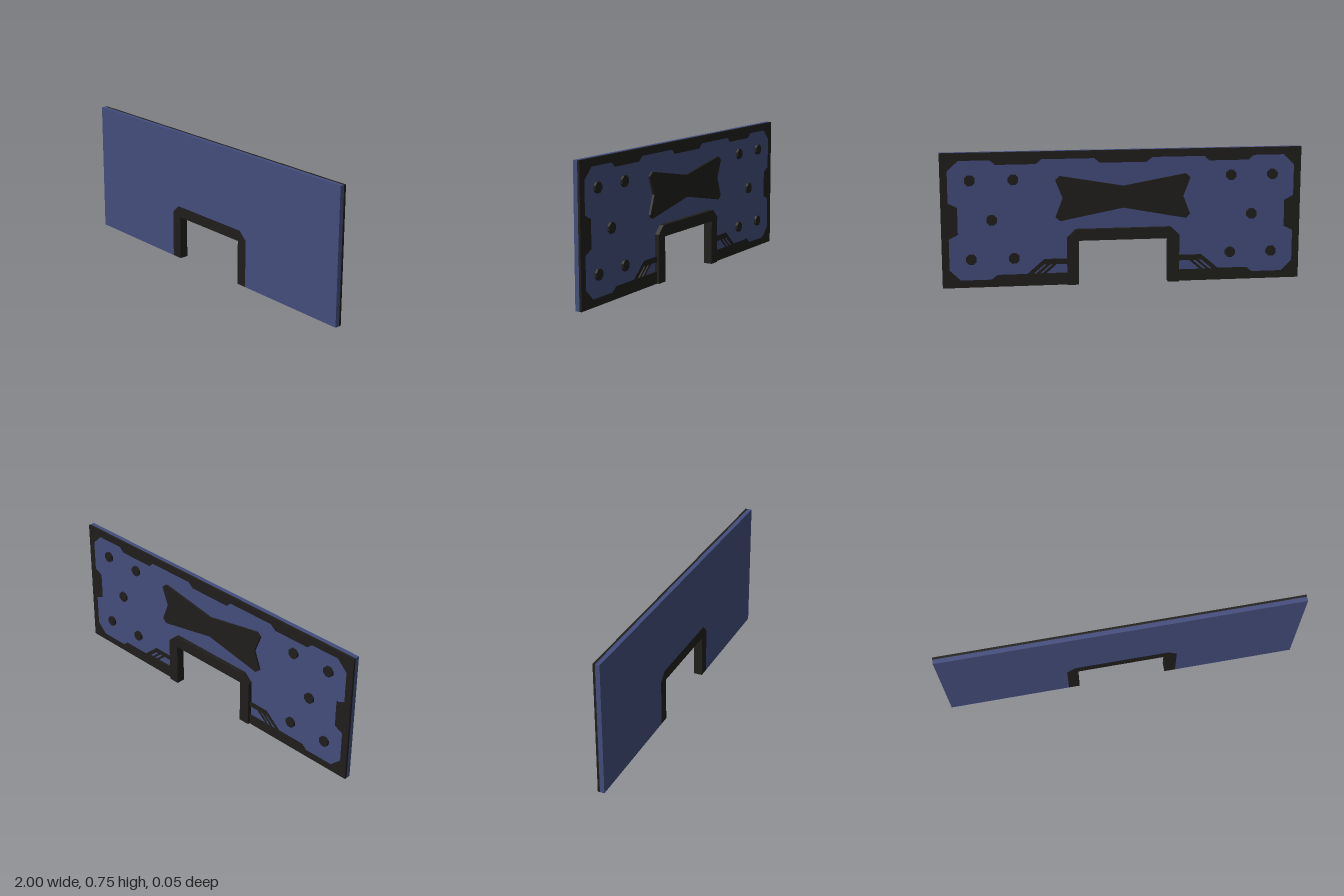
import * as THREE from 'three';

const blue = new THREE.MeshStandardMaterial({ color: 0x434d7c });
const dark = new THREE.MeshStandardMaterial({ color: 0x1f1e1b });

const toPoints = (list) => list.map(([x, y]) => new THREE.Vector2(x, y));
// Completes a half outline (x >= 0) with its mirror image
const mirrored = (half) => [
  ...half,
  ...half.filter(([x]) => x > 0).reverse().map(([x, y]) => [-x, y]),
];

// Extrudes a flat outline between two depths
function plate(name, outline, z0, z1, material, holes = []) {
  const shape = new THREE.Shape(toPoints(outline));
  for (const h of holes) shape.holes.push(new THREE.Path(toPoints(h)));
  const geo = new THREE.ExtrudeGeometry(shape, { depth: z1 - z0, bevelEnabled: false });
  geo.translate(0, 0, z0);
  const mesh = new THREE.Mesh(geo, material);
  mesh.name = name;
  return mesh;
}

export function createModel() {
  const group = new THREE.Group();
  group.name = 'doorwayWallPanel';
  const back = -0.0125;

  // Wall slab, cut out around the doorway frame
  const archOuter = [[0.265, 0.313], [0.313, 0.268], [0.313, 0]];
  group.add(plate('wallSlab',
    mirrored([...archOuter, [1, 0], [1, 0.75]].reverse()).reverse(),
    0, 0.025, blue));

  // Doorway frame with chamfered top corners
  group.add(plate('doorwayFrame',
    mirrored([[0.25, 0.25], [0.25, 0], [0.313, 0], [0.313, 0.268], [0.265, 0.313]]),
    -0.025, 0.025, dark));

  // Raised rim on the back, with a stepped opening and vents beside the doorway
  const opening = mirrored([
    [0.13, 0.682], [0.16, 0.708], [0.45, 0.708], [0.48, 0.682], [0.70, 0.682], [0.73, 0.708],
    [0.90, 0.708], [0.96, 0.65], [0.96, 0.475], [0.91, 0.45], [0.91, 0.3], [0.96, 0.275],
    [0.96, 0.1], [0.90, 0.042], [0.73, 0.042], [0.70, 0.068], [0.535, 0.068],
    [0.44, 0.15], [0.30, 0.15], [0.30, 0.262], [0.26, 0.30],
  ]);
  const slope = -1.16;
  const slantX = (y, shift) => 0.535 + (y - 0.068) * slope - shift;
  const vents = [];
  for (const side of [1, -1]) {
    const y0 = 0.066, y1 = 0.118;
    for (const shift of [0.035, 0.07]) {
      vents.push([
        [slantX(y0, shift), y0], [slantX(y1, shift), y1],
        [slantX(y1, shift + 0.016), y1], [slantX(y0, shift + 0.016), y0],
      ].map(([x, y]) => [x * side, y]));
    }
    vents.push([
      [0.30, y0], [slantX(y0, 0.105), y0], [slantX(y1, 0.105), y1], [0.30, y1],
    ].map(([x, y]) => [x * side, y]));
  }
  group.add(plate('backRim',
    mirrored([[1, 0.75], [1, 0], [0.28, 0], [0.28, 0.28]]),
    back, 0, dark, [opening, ...vents]));

  // Bow-tie plate in the middle of the back
  group.add(plate('bowTiePlate',
    mirrored([[0, 0.55], [0.35, 0.612], [0.375, 0.59], [0.335, 0.487],
      [0.375, 0.383], [0.35, 0.361], [0, 0.428]]),
    back, 0, dark));

  // Round studs, five on each side
  const studGeo = new THREE.CylinderGeometry(0.031, 0.031, 0.0125, 8).toNonIndexed();
  studGeo.computeVertexNormals();
  studGeo.rotateY(Math.PI / 8).rotateX(Math.PI / 2);
  for (const side of [1, -1]) {
    for (const [x, y] of [[0.84, 0.597], [0.605, 0.597], [0.725, 0.375], [0.84, 0.157], [0.605, 0.157]]) {
      const stud = new THREE.Mesh(studGeo, dark);
      stud.name = 'stud';
      stud.position.set(x * side, y, back / 2);
      group.add(stud);
    }
  }
  return group;
}
